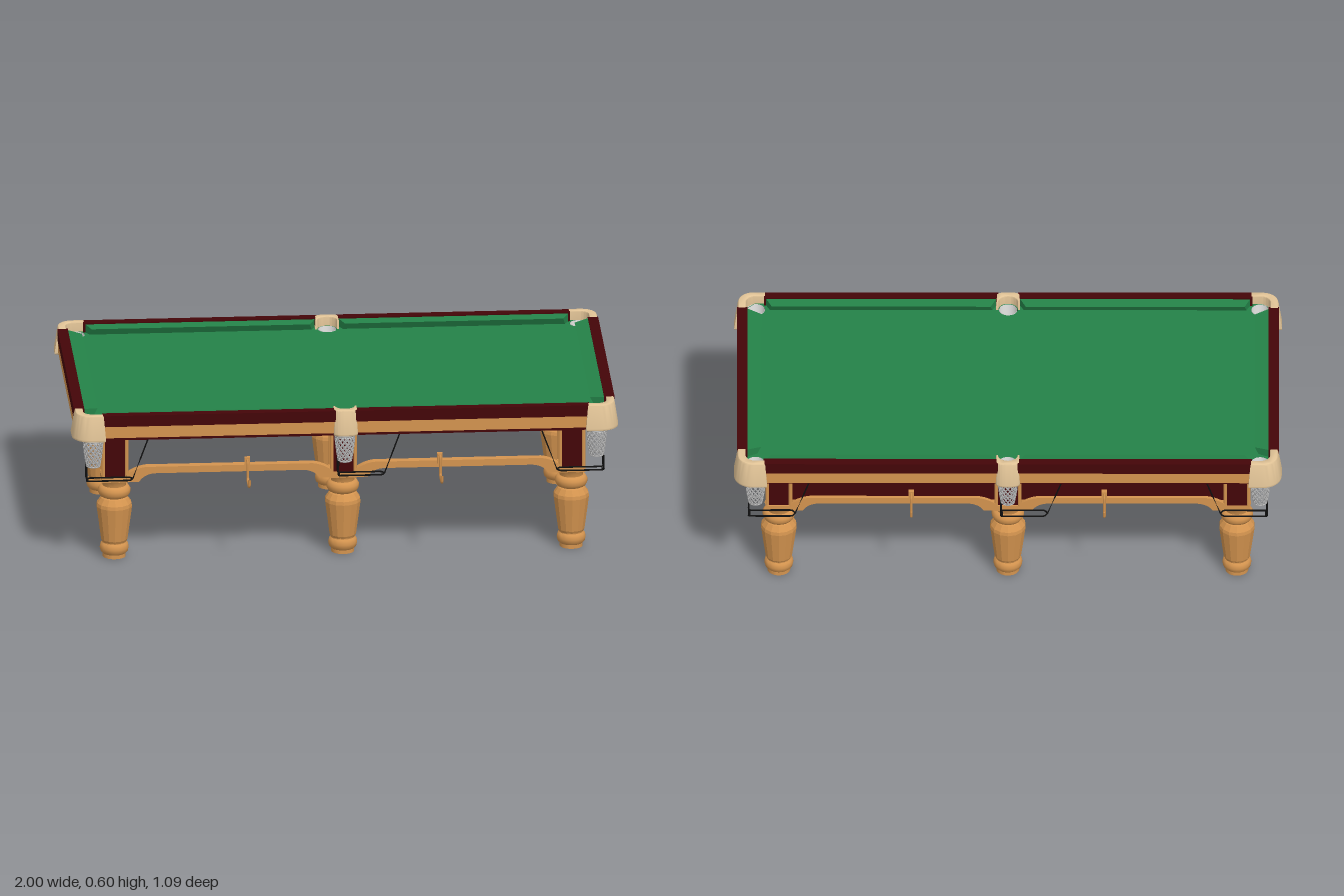
import * as THREE from 'three';
import { toCreasedNormals } from 'three/addons/utils/BufferGeometryUtils.js';

const mat = (name, color, side = THREE.FrontSide) => {
  const m = new THREE.MeshStandardMaterial({ color, side });
  m.name = name;
  return m;
};

export function createModel() {
  const root = new THREE.Group();
  const red = mat('mahogany', 0x440508), green = mat('green cloth', 0x248248);
  const tan = mat('light oak', 0xd4944f), cream = mat('pocket leather', 0xe2c497);
  const brown = mat('underside board', 0x4a2616), white = mat('pocket liner', 0xe6e6e4, THREE.DoubleSide);
  const grey = mat('net cord', 0xb8b8b8), black = mat('rack wire', 0x101010);

  const add = (name, geo, m, x = 0, y = 0, z = 0, parent = root) => {
    const mesh = new THREE.Mesh(geo, m);
    mesh.name = name;
    mesh.position.set(x, y, z);
    parent.add(mesh);
    return mesh;
  };
  const box = (name, m, x0, x1, y0, y1, z0, z1) =>
    add(name, new THREE.BoxGeometry(x1 - x0, y1 - y0, z1 - z0), m, (x0 + x1) / 2, (y0 + y1) / 2, (z0 + z1) / 2);
  const tube = (name, pts, r, m, parent, n = 32, sides = 6) => {
    const curve = new THREE.CatmullRomCurve3(pts.map(p => new THREE.Vector3(...p)), false, 'catmullrom', 0.15);
    return add(name, new THREE.TubeGeometry(curve, n, r, sides), m, 0, 0, 0, parent);
  };

  // Pocket centres: corners and middles
  const pockets = [];
  for (const sz of [-1, 1]) for (const sx of [-1, 0, 1]) pockets.push({ sx, sz, x: sx * 0.92, z: sz * 0.47 });

  // Horizontal slab with chamfered corners and six pocket holes
  const slab = (name, m, w, d, c, y0, y1) => {
    const s = new THREE.Shape([[-w + c, -d], [w - c, -d], [w, -d + c], [w, d - c], [w - c, d], [-w + c, d], [-w, d - c], [-w, -d + c]]
      .map(p => new THREE.Vector2(...p)));
    for (const p of pockets) s.holes.push(new THREE.Path().absarc(p.x, p.z, 0.034, 0, Math.PI * 2, true));
    const g = new THREE.ExtrudeGeometry(s, { depth: y1 - y0, bevelEnabled: false, curveSegments: 20 });
    add(name, g.rotateX(Math.PI / 2), m, 0, y1, 0);
  };
  slab('tableFrame', red, 0.972, 0.512, 0.04, 0.5, 0.56);
  slab('clothBed', green, 0.955, 0.507, 0.03, 0.56, 0.565);
  box('undersideBoard', brown, -0.85, 0.85, 0.496, 0.5, -0.385, 0.385);

  // Cushion: wedge profile with ends cut back towards the nose
  const cushionGeo = length => {
    const s = new THREE.Shape([[0, 0.59], [0.014, 0.564], [0.052, 0.564], [0.052, 0.597]].map(p => new THREE.Vector2(...p)));
    const g = new THREE.ExtrudeGeometry(s, { depth: length, bevelEnabled: false }).translate(0, 0, -length / 2);
    const p = g.attributes.position;
    for (let i = 0; i < p.count; i++) {
      const z = p.getZ(i);
      p.setZ(i, Math.sign(z) * (length / 2 - (0.052 - p.getX(i)) * 0.5));
    }
    g.computeVertexNormals();
    return g;
  };
  const longCushion = cushionGeo(0.85), endCushion = cushionGeo(0.87);
  for (const s of [-1, 1]) {
    // End rail, band and cushion
    add('endCushion', endCushion, green, s * 0.9, 0, 0).rotation.y = s > 0 ? 0 : Math.PI;
    const e = (a, b) => [Math.min(s * a, s * b), Math.max(s * a, s * b)];
    box('endRail', red, ...e(0.95, 0.988), 0.558, 0.6, -0.44, 0.44);
    box('endBand', tan, ...e(0.95, 0.986), 0.514, 0.558, -0.44, 0.44);
    for (const t of [-1, 1]) {
      // Side rails, bands and cushions, split by the middle pockets
      add('sideCushion', longCushion, green, t * 0.463, 0, s * 0.455).rotation.y = s > 0 ? -Math.PI / 2 : Math.PI / 2;
      const x = [Math.min(t * 0.036, t * 0.89), Math.max(t * 0.036, t * 0.89)];
      box('sideRail', red, ...x, 0.558, 0.6, ...e(0.495, 0.529));
      box('sideBand', tan, ...x, 0.514, 0.558, ...e(0.495, 0.527));
    }
  }

  // Pocket caps, flared towards the bottom
  const corner = new THREE.Shape();
  corner.moveTo(-0.035, 0.061).lineTo(0.005, 0.061).bezierCurveTo(0.04, 0.061, 0.065, 0.036, 0.065, 0.002).lineTo(0.065, -0.035)
    .lineTo(0.035, -0.035).lineTo(0.035, 0).absarc(0, 0, 0.035, 0, Math.PI / 2, false).lineTo(-0.035, 0.035);
  const middle = new THREE.Shape();
  middle.moveTo(0.043, 0).lineTo(0.043, 0.045).quadraticCurveTo(0.04, 0.062, 0, 0.062).quadraticCurveTo(-0.04, 0.062, -0.043, 0.045)
    .lineTo(-0.043, 0).lineTo(-0.035, 0).absarc(0, 0, 0.035, Math.PI, 0, true);
  const capGeo = (shape, flareX, flareZ) => {
    const g = new THREE.ExtrudeGeometry(shape, {
      depth: 0.08, bevelThickness: 0.008, bevelSize: 0.003, bevelOffset: -0.003, bevelSegments: 3, curveSegments: 12,
    }).rotateX(Math.PI / 2).translate(0, 0.593, 0);
    const p = g.attributes.position;
    for (let i = 0; i < p.count; i++) {
      const t = (0.601 - p.getY(i)) / 0.096;
      p.setX(i, p.getX(i) * (1 + flareX * t));
      p.setZ(i, p.getZ(i) * (1 + flareZ * t));
    }
    return toCreasedNormals(g, 0.7);
  };
  const cornerCap = capGeo(corner, 0.23, 0.28), middleCap = capGeo(middle, 0.05, 0.22);

  // Net radius and height from top (0) to bottom (1)
  const netR = t => 0.036 - 0.004 * t - 0.008 * t * t, netY = t => 0.49 - 0.1 * t;
  const cords = [];
  for (const dir of [-1, 1]) for (let k = 0; k < 12; k++) {
    const pts = [];
    for (let i = 0; i <= 8; i++) {
      const t = i / 8, a = (k / 12) * Math.PI * 2 + dir * t * 2.4;
      pts.push(new THREE.Vector3(Math.cos(a) * netR(t), netY(t), Math.sin(a) * netR(t)));
    }
    cords.push(new THREE.TubeGeometry(new THREE.CatmullRomCurve3(pts), 10, 0.0026, 4));
  }
  const ringGeo = (r, w) => new THREE.TorusGeometry(r, w, 6, 24).rotateX(Math.PI / 2);

  for (const { sx, sz, x, z } of pockets) {
    const g = new THREE.Group();
    g.name = sx ? 'cornerPocket' : 'middlePocket';
    g.position.set(x, 0, z);
    g.scale.set(sx || 1, 1, sz);
    root.add(g);
    add('pocketCap', sx ? cornerCap : middleCap, cream, 0, 0, 0, g);
    add('pocketLiner', new THREE.CylinderGeometry(0.033, 0.033, 0.064, 24, 1, true), white, 0, 0.534, 0, g);
    add('pocketCollar', new THREE.CylinderGeometry(0.04, 0.036, 0.022, 24, 1, true), white, 0, 0.493, 0, g);
    cords.forEach(c => add('netCord', c, grey, 0, 0, 0, g));
    for (const t of [0, 1]) add('netRing', ringGeo(netR(t), 0.003), grey, 0, netY(t), 0, g);
    // Ball rack: two prongs under the net joining one wire back up to the frame
    const d = sx ? -1 : sz;
    for (const w of [-1, 1])
      tube('rackProng', [[-0.025 * d, 0.395, w * 0.024], [-0.025 * d, 0.346, w * 0.024], [-0.02 * d, 0.336, w * 0.018],
        [0.13 * d, 0.336, w * 0.018], [0.145 * d, 0.336, 0]], 0.003, black, g, 40);
    tube('rackStay', [[0.145 * d, 0.336, 0], [0.205 * d, 0.5, 0]], 0.0028, black, g, 2);
    tube('rackCrossbar', [[-0.02 * d, 0.336, -0.018], [-0.02 * d, 0.336, 0.018]], 0.003, black, g, 2);
  }

  // Turned legs with a faceted vase, under square posts
  const lathe = (pts, n) => new THREE.LatheGeometry(pts.map(p => new THREE.Vector2(...p)), n);
  const foot = toCreasedNormals(lathe([[0, 0], [0.042, 0], [0.042, 0.014], [0.05, 0.022], [0.053, 0.036], [0.05, 0.05], [0.044, 0.056], [0.044, 0.07]], 28), 0.7);
  const vase = lathe([[0.043, 0.056], [0.049, 0.068], [0.066, 0.195], [0.064, 0.208], [0.05, 0.228], [0.036, 0.236]], 14).toNonIndexed();
  vase.computeVertexNormals();
  const neck = toCreasedNormals(lathe([[0.04, 0.23], [0.052, 0.236], [0.059, 0.248], [0.059, 0.262], [0.052, 0.273], [0.043, 0.276], [0.045, 0.288], [0.052, 0.3], [0, 0.3]], 28), 0.7);
  const bead = new THREE.CylinderGeometry(0.007, 0.007, 0.19, 8);
  for (const sz of [-1, 1]) for (const lx of [-0.835, 0, 0.835]) {
    const leg = new THREE.Group();
    leg.name = 'leg';
    leg.position.set(lx, 0, sz * 0.355);
    root.add(leg);
    add('legFoot', foot, tan, 0, 0, 0, leg);
    add('legVase', vase, tan, 0, 0, 0, leg);
    add('legNeck', neck, tan, 0, 0, 0, leg);
    add('legBlock', new THREE.BoxGeometry(0.098, 0.022, 0.098), tan, 0, 0.309, 0, leg);
    add('legPost', new THREE.BoxGeometry(0.088, 0.19, 0.088), red, 0, 0.41, 0, leg);
    for (const bx of [-1, 1]) for (const bz of [-1, 1]) add('postBead', bead, tan, bx * 0.0425, 0.41, bz * 0.0425, leg);
  }

  // Valance strips dropping into brackets beside the legs
  const valanceGeo = length => {
    const h = length / 2, s = new THREE.Shape();
    s.moveTo(-h, 0.3).lineTo(-h + 0.045, 0.3).quadraticCurveTo(-h + 0.065, 0.332, -h + 0.11, 0.332)
      .lineTo(h - 0.11, 0.332).quadraticCurveTo(h - 0.065, 0.332, h - 0.045, 0.3).lineTo(h, 0.3).lineTo(h, 0.328)
      .quadraticCurveTo(h - 0.03, 0.352, h - 0.07, 0.357).lineTo(-h + 0.07, 0.357).quadraticCurveTo(-h + 0.03, 0.352, -h, 0.328);
    return new THREE.ExtrudeGeometry(s, { depth: 0.03, bevelEnabled: false, curveSegments: 8 }).translate(0, 0, -0.015);
  };
  const sideValance = valanceGeo(0.75), endValance = valanceGeo(0.62);
  for (const s of [-1, 1]) {
    add('endValance', endValance, tan, s * 0.862, 0, 0).rotation.y = Math.PI / 2;
    box('endApron', red, s * 0.86 - 0.008, s * 0.86 + 0.008, 0.34, 0.502, -0.32, 0.32);
    box('backApron', red, s * 0.4175 - 0.38, s * 0.4175 + 0.38, 0.34, 0.502, -0.392, -0.376);
    for (const t of [-1, 1]) {
      add('sideValance', sideValance, tan, s * 0.4175, 0, t * 0.39);
      // Cue hooks, longer at the front
      const out = t > 0 ? 0.52 : 0.465, hx = s * 0.352;
      tube('cueHook', [[hx, 0.375, t * 0.385], [hx, 0.375, t * 0.432], [hx, 0.318, t * 0.435], [hx, 0.306, t * 0.445],
        [hx, 0.306, t * (out - 0.015)], [hx, 0.315, t * (out - 0.003)], [hx, 0.338, t * out]], 0.005, tan, root);
      box('hookPlate', tan, hx - 0.01, hx + 0.01, 0.345, 0.385, t * 0.4 - 0.008, t * 0.4 + 0.008);
    }
  }
  return root;
}
